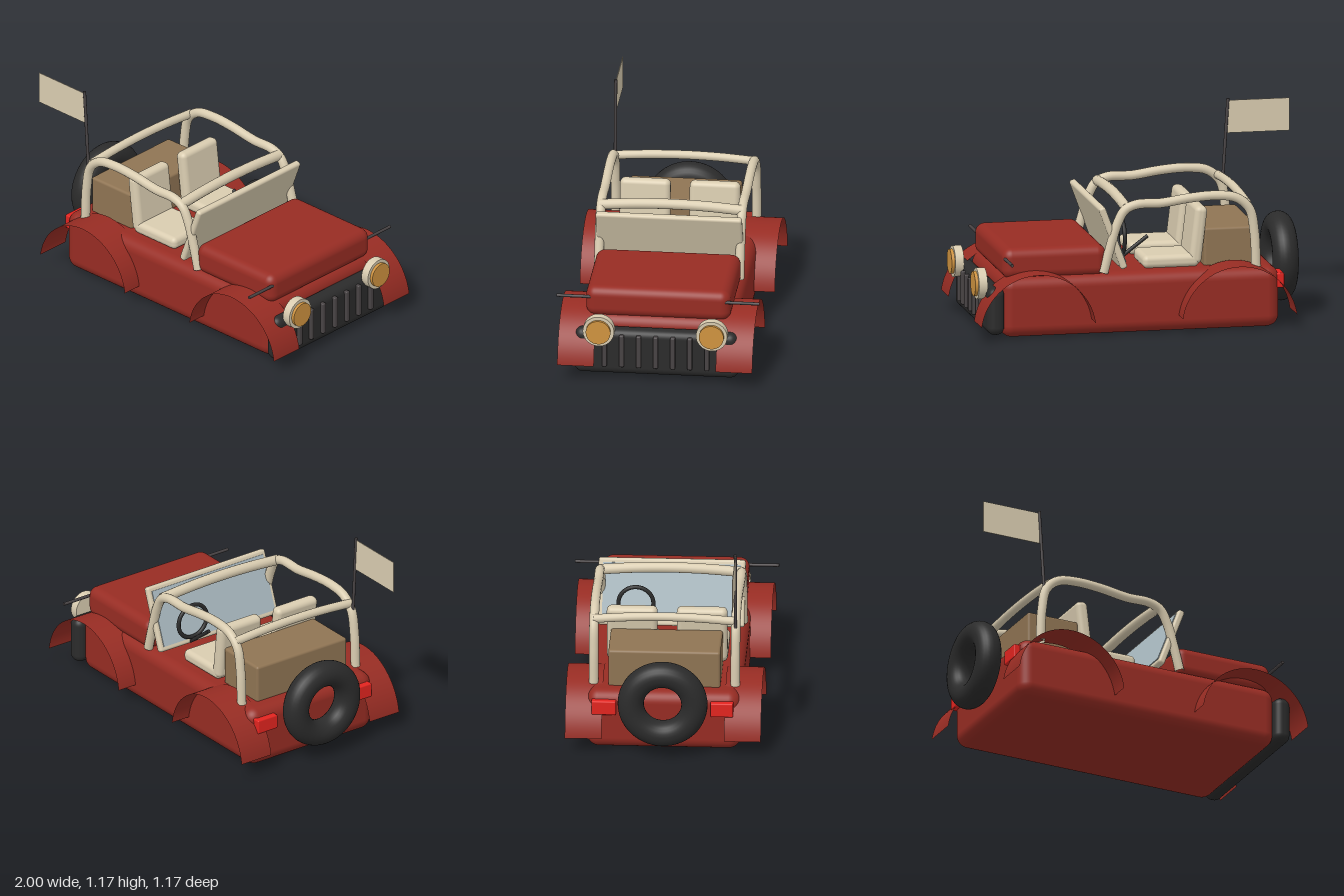
import * as THREE from 'three';
import { RoundedBoxGeometry } from 'three/addons/geometries/RoundedBoxGeometry.js';

export function createModel() {
  const car = new THREE.Group();
  car.name = 'offRoadCar';

  const mat = (name, color, side = THREE.FrontSide) => {
    const m = new THREE.MeshStandardMaterial({ color, side });
    m.name = name;
    return m;
  };
  const red = mat('body red', 0x972c23, THREE.DoubleSide);
  const cream = mat('cream', 0xd9ccb0, THREE.DoubleSide);
  const black = mat('rubber black', 0x2b2b2b);
  const grey = mat('dark grey', 0x484344);
  const brown = mat('cargo brown', 0x8f7453);
  const amber = mat('lamp amber', 0xd09440);
  const tail = mat('tail light red', 0xe3241f);
  const glass = mat('glass blue', 0xa9b9c0);

  const add = (name, geometry, material, x = 0, y = 0, z = 0, parent = car) => {
    const mesh = new THREE.Mesh(geometry, material);
    mesh.name = name;
    mesh.position.set(x, y, z);
    parent.add(mesh);
    return mesh;
  };
  // Rounded box from its minimum and maximum corners
  const box = (name, a, b, r, material) => add(name,
    new RoundedBoxGeometry(b[0] - a[0], b[1] - a[1], b[2] - a[2], 5, r), material,
    (a[0] + b[0]) / 2, (a[1] + b[1]) / 2, (a[2] + b[2]) / 2);
  // Straight round bar between two points
  const bar = (name, a, b, r, material) => {
    const p = new THREE.Vector3(...a), q = new THREE.Vector3(...b);
    const d = q.clone().sub(p);
    const mesh = add(name, new THREE.CylinderGeometry(r, r, d.length(), 16), material,
      ...p.clone().add(q).multiplyScalar(0.5).toArray());
    mesh.quaternion.setFromUnitVectors(new THREE.Vector3(0, 1, 0), d.normalize());
    return mesh;
  };

  // Body tub, bonnet, grille
  box('body', [-0.77, 0.005, -0.44], [0.855, 0.36, 0.44], 0.07, red);
  box('bonnet', [0.235, 0.34, -0.415], [0.84, 0.52, 0.415], 0.055, red);
  box('grille', [0.84, 0.03, -0.47], [0.94, 0.305, 0.47], 0.045, black);
  for (let i = -3; i <= 3; i++) {
    box('grilleSlat', [0.925, 0.085, i * 0.098 - 0.014], [0.96, 0.28, i * 0.098 + 0.014], 0.008, grey);
  }

  // Open arched fenders
  const fender = new THREE.CylinderGeometry(0.336, 0.336, 0.21, 48, 1, true, Math.PI - 1.436, 2.872);
  fender.rotateX(Math.PI / 2);

  // Side hoop of the roll cage, as x and y points
  const hoop = [[-0.635, 0.36], [-0.625, 0.56], [-0.595, 0.7], [-0.52, 0.765], [-0.4, 0.783],
    [-0.25, 0.775], [-0.08, 0.752], [0.06, 0.75], [0.13, 0.72], [0.175, 0.64], [0.215, 0.51], [0.255, 0.36]];

  for (const s of [-1, 1]) {
    for (const x of [-0.51, 0.665]) add('fender', fender, red, x, 0.055, s * 0.455);

    const path = new THREE.CatmullRomCurve3(hoop.map(([x, y]) => new THREE.Vector3(x, y, s * 0.405)));
    add('rollCageSide', new THREE.TubeGeometry(path, 80, 0.027, 14), cream);

    // Headlight with its lens
    add('headlightRim', new THREE.CylinderGeometry(0.09, 0.09, 0.05, 40).rotateZ(-Math.PI / 2),
      cream, 0.957, 0.312, s * 0.325);
    add('headlightLens', new THREE.CylinderGeometry(0.071, 0.071, 0.04, 40).rotateZ(-Math.PI / 2),
      amber, 0.98, 0.312, s * 0.325);

    box('tailLight', s > 0 ? [-0.8, 0.23, 0.27] : [-0.8, 0.23, -0.41],
      s > 0 ? [-0.75, 0.315, 0.4] : [-0.75, 0.315, -0.27], 0.008, tail);
    bar('sideRod', [0.825, 0.46, s * 0.36], [0.825, 0.46, s * 0.583], 0.009, grey);

    // Seat cushion and leaning backrest
    const z = s * 0.2;
    box('seatCushion', [-0.32, 0.358, z - 0.145], [0.01, 0.432, z + 0.145], 0.03, cream);
    const back = add('seatBack', new RoundedBoxGeometry(0.072, 0.335, 0.29, 5, 0.03), cream, -0.315, 0.54, z);
    back.rotation.z = 0.12;
  }

  // Cross bars of the roll cage, slightly bowed upwards
  for (const [x, y, r] of [[-0.58, 0.735, 0.025], [0.12, 0.73, 0.03]]) {
    const bow = new THREE.CatmullRomCurve3([[y, -0.41], [y + 0.015, -0.2], [y + 0.02, 0], [y + 0.015, 0.2], [y, 0.41]]
      .map(([h, z]) => new THREE.Vector3(x, h, z)));
    add('rollCageCrossBar', new THREE.TubeGeometry(bow, 32, r, 14), cream);
  }

  // Windscreen panel with the glass on its cabin side
  const screen = new THREE.Group();
  screen.name = 'windscreen';
  screen.position.set(0.2, 0.56, 0);
  screen.rotation.z = -0.356;
  car.add(screen);
  add('windscreenFrame', new RoundedBoxGeometry(0.04, 0.385, 0.84, 4, 0.015), cream, 0, 0, 0, screen);
  add('windscreenGlass', new THREE.BoxGeometry(0.008, 0.33, 0.79), glass, -0.021, 0, 0, screen);

  // Steering wheel and column
  add('steeringWheel', new THREE.TorusGeometry(0.1, 0.012, 12, 40).rotateY(Math.PI / 2), black, 0.108, 0.528, -0.2);
  bar('steeringColumn', [-0.045, 0.522, -0.2], [0.13, 0.39, -0.2], 0.011, black);

  // Cargo and spare tyre
  box('cargoBox', [-0.67, 0.35, -0.32], [-0.35, 0.577, 0.32], 0.015, brown);
  add('spareTyre', new THREE.TorusGeometry(0.182, 0.075, 24, 56).rotateY(Math.PI / 2), black, -0.855, 0.333, 0);

  // Flag on its pole
  bar('flagPole', [-0.61, 0.68, 0.405], [-0.642, 1.177, 0.405], 0.009, grey);
  add('flag', new THREE.BoxGeometry(0.36, 0.19, 0.004), cream, -0.82, 1.07, 0.405);

  return car;
}
